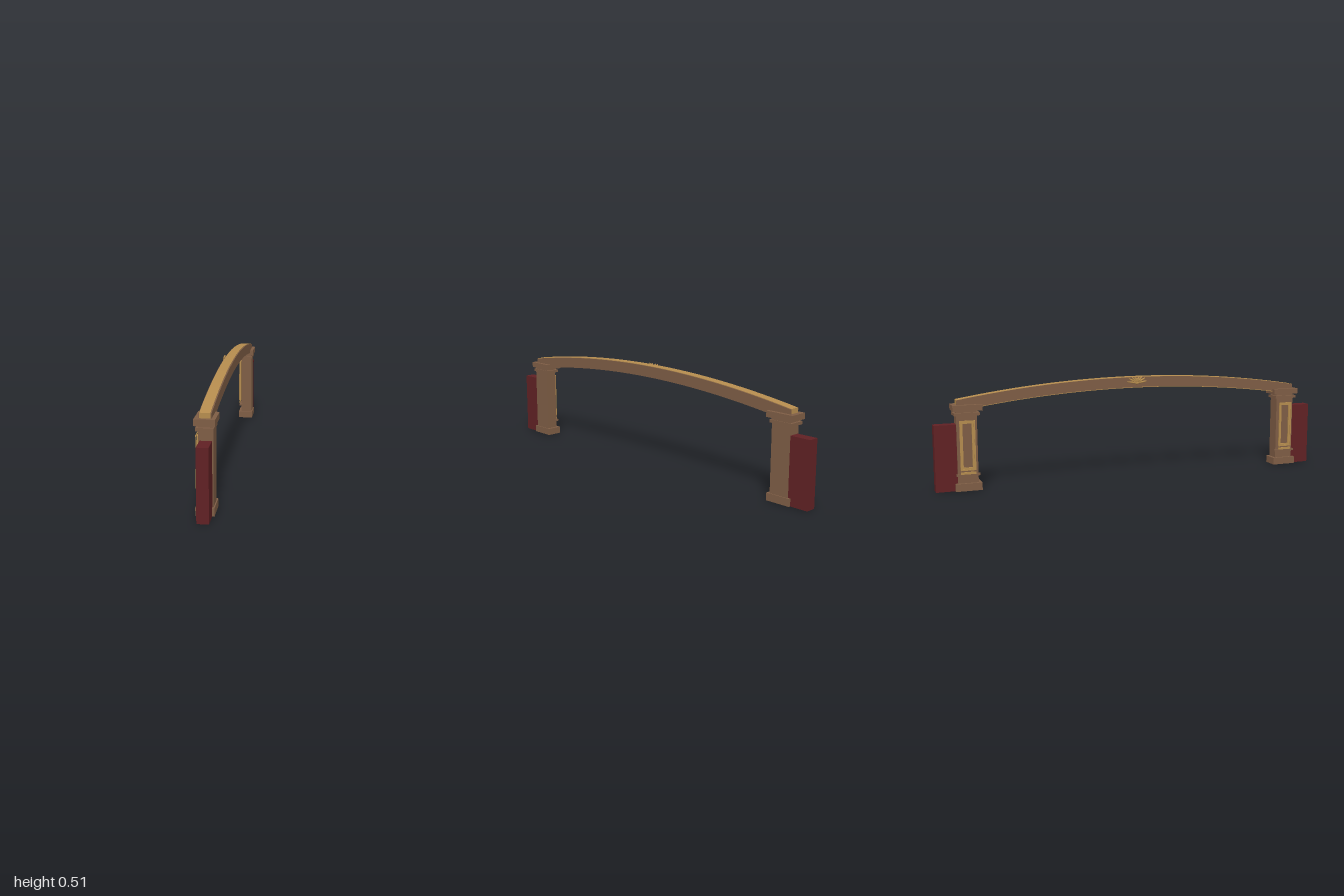
import * as THREE from 'three';

const material = (name, color, options = {}) => {
  const m = new THREE.MeshStandardMaterial({ color, ...options });
  m.name = name;
  return m;
};

export function createModel() {
  const wood = material('brown wood', 0x7e5d45);
  const gold = material('gold', 0xb58c4e);
  const red = material('dark red', 0x602124);
  const model = new THREE.Group();
  model.name = 'archway';

  const add = (parent, name, geometry, mat) => {
    const mesh = new THREE.Mesh(geometry, mat);
    mesh.name = name;
    parent.add(mesh);
    return mesh;
  };

  // Box given by its limits on each axis
  const box = (parent, name, mat, [x0, x1], [y0, y1], [z0, z1]) => {
    const g = new THREE.BoxGeometry(x1 - x0, y1 - y0, z1 - z0);
    g.translate((x0 + x1) / 2, (y0 + y1) / 2, (z0 + z1) / 2);
    return add(parent, name, g, mat);
  };

  // Profile drawn in z and y, pushed out along x
  const extrudeX = (shape, x0, x1) => {
    const g = new THREE.ExtrudeGeometry(shape, { depth: x1 - x0, bevelEnabled: false });
    g.rotateY(-Math.PI / 2);
    g.translate(x1, 0, 0);
    return g;
  };

  // Rectangular frame facing -x
  const frame = (parent, name, [x0, x1], [y0, y1], [z0, z1], t) => {
    const rect = (Type, d) => new Type([
      new THREE.Vector2(z0 + d, y0 + d), new THREE.Vector2(z1 - d, y0 + d),
      new THREE.Vector2(z1 - d, y1 - d), new THREE.Vector2(z0 + d, y1 - d),
    ]);
    const shape = rect(THREE.Shape, 0);
    shape.holes.push(rect(THREE.Path, t));
    add(parent, name, extrudeX(shape, x0, x1), gold);
  };

  // Pillars with wall stubs, mirrored front to back
  for (const side of [1, -1]) {
    const pillar = new THREE.Group();
    pillar.name = side > 0 ? 'frontPillar' : 'backPillar';
    const z = (a, b) => (side > 0 ? [a, b] : [-b, -a]);
    box(pillar, 'wall', red, [-0.022, 0.029], [0, 0.316], z(0.89, 1));
    box(pillar, 'base', wood, [-0.04, 0.039], [0, 0.036], z(0.785, 0.91));
    box(pillar, 'shaft', wood, [-0.027, 0.034], [0.03, 0.385], z(0.8, 0.897));
    box(pillar, 'lowerMoulding', wood, [-0.036, -0.02], [0.071, 0.081], z(0.792, 0.904));
    box(pillar, 'goldFillet', gold, [-0.04, -0.036], [0.08, 0.091], z(0.812, 0.885));
    box(pillar, 'upperMoulding', wood, [-0.038, 0.037], [0.357, 0.371], z(0.788, 0.908));
    box(pillar, 'cap', wood, [-0.045, 0.044], [0.38, 0.408], z(0.775, 0.915));
    frame(pillar, 'panelFrame', [-0.036, -0.03], [0.1, 0.332], z(0.815, 0.882), 0.012);
    frame(pillar, 'panelTrim', [-0.041, -0.038], [0.098, 0.335], z(0.812, 0.885), 0.006);
    model.add(pillar);
  }

  // Arched beam: gold core between brown side boards
  const R = 5.47;
  const drop = (z) => R - Math.sqrt(R * R - z * z);
  const arc = (end, top, bottom) => {
    const n = 48;
    const upper = [], lower = [];
    for (let i = 0; i <= n; i++) {
      const z = end * (2 * i / n - 1);
      lower.push(new THREE.Vector2(z, bottom - drop(z)));
      upper.unshift(new THREE.Vector2(z, top - drop(z)));
    }
    return new THREE.Shape([...lower, ...upper]);
  };
  add(model, 'beamCore', extrudeX(arc(0.893, 0.504, 0.45), -0.023, 0.022), gold);
  add(model, 'rightBoard', extrudeX(arc(0.893, 0.502, 0.448), 0.022, 0.027), wood);
  add(model, 'leftBoard', extrudeX(arc(0.893, 0.503, 0.453), -0.025, -0.023), wood);

  // Shell ornament at the crown: a fan of rounded ribs
  const shell = new THREE.Group();
  shell.name = 'shellOrnament';
  for (let i = 0; i < 9; i++) {
    const a = -1.4 + 2.8 * i / 8;
    const length = 0.029 + 0.025 * Math.abs(Math.sin(a));
    const rib = new THREE.SphereGeometry(1, 10, 8);
    rib.scale(0.005, length / 2, 0.0048);
    rib.translate(0, length / 2, 0);
    rib.rotateX(a);
    add(shell, 'rib', rib, gold);
  }
  const boss = new THREE.SphereGeometry(1, 12, 8);
  boss.scale(0.006, 0.006, 0.01);
  add(shell, 'boss', boss, gold);
  shell.position.set(-0.0305, 0.473, 0);
  model.add(shell);

  return model;
}
